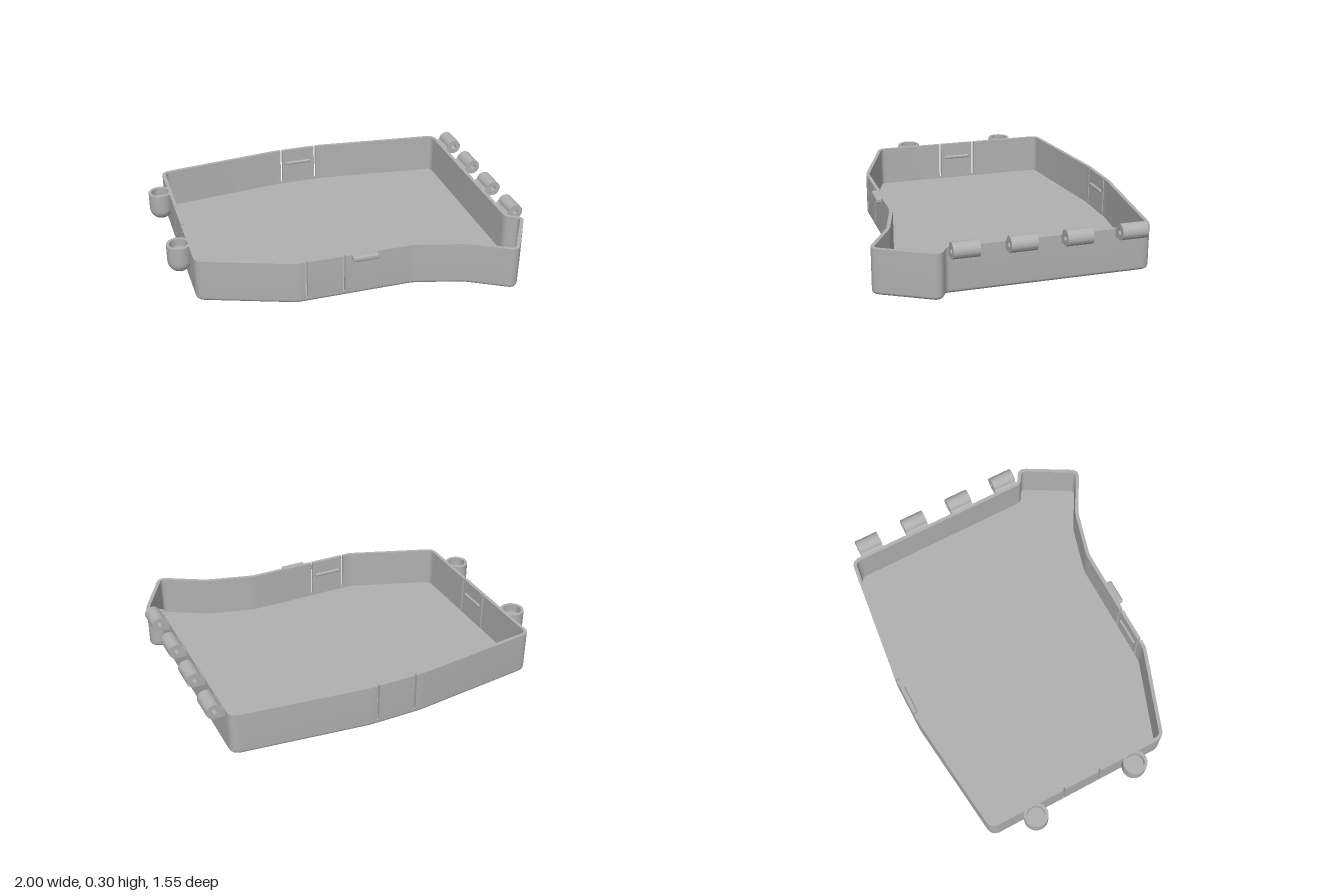
import * as THREE from 'three';
import { toCreasedNormals } from 'three/addons/utils/BufferGeometryUtils.js';
import { RoundedBoxGeometry } from 'three/addons/geometries/RoundedBoxGeometry.js';

const HEIGHT = 0.25, WALL = 0.02, FLOOR = 0.02, EDGE = 0.022, SLOT_BASE = 0.03, SLOT = 0.012;

// Corners of the tray: x, z, rounding radius, and slot distances along the edge that follows
const CORNERS = [
  [-0.885, -0.692, 0.06], [-0.15, -0.776, 0.2, [0.04, 0.26]], [0.15, -0.776, 0.2],
  [0.902, -0.688, 0.06], [0.902, 0.42, 0.03], [0.985, 0.465, 0.05], [0.80, 0.79, 0.05],
  [0.55, 0.645, 0.2], [0.28, 0.57, 0.2, [0.395, 0.605]], [-0.38, 0.57, 0.12],
  [-0.885, 0.387, 0.06, [0.405, 0.625]],
];

// Rounded outline; cut marks the first point of each slot
function makeOutline() {
  const pts = [], n = CORNERS.length;
  const v = CORNERS.map(c => new THREE.Vector2(c[0], c[1]));
  for (let i = 0; i < n; i++) {
    const p = v[i];
    const a = v[(i + n - 1) % n].clone().sub(p).normalize();
    const b = v[(i + 1) % n].clone().sub(p).normalize();
    const turn = Math.PI - Math.acos(a.dot(b));
    const t = CORNERS[i][2] * Math.tan(turn / 2);
    const curve = new THREE.QuadraticBezierCurve(
      p.clone().addScaledVector(a, t), p, p.clone().addScaledVector(b, t));
    pts.push(...curve.getPoints(8).map(q => ({ p: q, cut: false })));
    for (const s of CORNERS[i][3] || []) {
      pts.push({ p: p.clone().addScaledVector(b, s - SLOT / 2), cut: true });
      pts.push({ p: p.clone().addScaledVector(b, s + SLOT / 2), cut: false });
    }
  }
  // Mitred inward normals
  const m = pts.length;
  pts.forEach((q, i) => {
    const side = (s, e) => new THREE.Vector2(-(e.y - s.y), e.x - s.x).normalize();
    const n0 = side(pts[(i + m - 1) % m].p, q.p), n1 = side(q.p, pts[(i + 1) % m].p);
    q.n = n0.clone().add(n1).divideScalar(1 + n0.dot(n1));
  });
  return pts;
}

const inset = (q, d) => q.p.clone().addScaledVector(q.n, d);

// Wall swept around the outline, with open slots
function wallGeometry(outline) {
  const profile = [];
  for (let k = 0; k <= 5; k++) {
    const a = k / 5 * Math.PI / 2;
    profile.push([EDGE * (1 - Math.sin(a)), EDGE * (1 - Math.cos(a))]);
  }
  const base = profile.length;
  profile.push([0, SLOT_BASE], [0, HEIGHT], [WALL, HEIGHT], [WALL, SLOT_BASE], [WALL, FLOOR]);
  const pos = [], m = outline.length;
  const at = (i, j) => {
    const q = inset(outline[i], profile[j][0]);
    return [q.x, profile[j][1], q.y];
  };
  const quad = (a, b, c, d) => pos.push(...a, ...b, ...c, ...a, ...c, ...d);
  const strip = (i, k, j0, j1) => quad(at(i, j0), at(i, j1), at(k, j1), at(k, j0));
  for (let i = 0; i < m; i++) {
    const k = (i + 1) % m, cut = outline[i].cut;
    for (let j = 0; j < profile.length - 1; j++) {
      if (cut && j >= base && j < base + 3) continue;
      strip(i, k, j, j + 1);
    }
    if (cut) {
      strip(i, k, base, base + 3);
      quad(at(i, base), at(i, base + 1), at(i, base + 2), at(i, base + 3));
      quad(at(k, base + 3), at(k, base + 2), at(k, base + 1), at(k, base));
    }
  }
  const g = new THREE.BufferGeometry();
  g.setAttribute('position', new THREE.Float32BufferAttribute(pos, 3));
  return toCreasedNormals(g, 0.6);
}

// Flat plate inside the outline, facing up (+1) or down (-1)
function plateGeometry(outline, d, y, facing) {
  const shape = new THREE.Shape(outline.map(q => {
    const v = inset(q, d);
    return new THREE.Vector2(v.x, -facing * v.y);
  }));
  return new THREE.ShapeGeometry(shape).rotateX(-facing * Math.PI / 2).translate(0, y, 0);
}

// Hinge knuckle: barrel with a pin hole and a foot reaching the wall
function knuckleGeometry(length) {
  const cx = 0.957, cy = 0.254, r = 0.043;
  const s = new THREE.Shape();
  s.moveTo(0.893, 0.211);
  s.lineTo(cx, cy - r);
  s.absarc(cx, cy, r, -Math.PI / 2, Math.PI * 0.97, false);
  s.lineTo(0.893, 0.248);
  s.closePath();
  const hole = new THREE.Path();
  hole.absarc(cx, cy, 0.015, 0, Math.PI * 2, true);
  s.holes.push(hole);
  const g = new THREE.ExtrudeGeometry(s, { depth: length, bevelEnabled: false, curveSegments: 28 });
  return toCreasedNormals(g.translate(0, 0, -length / 2), 0.6);
}

// Round-bottomed post with a shallow socket in its top
function postGeometry() {
  const r = 0.067, low = 0.085 + r, pts = [];
  for (let k = 0; k <= 10; k++) {
    const a = k / 10 * Math.PI / 2;
    pts.push(new THREE.Vector2(r * Math.sin(a), low - r * Math.cos(a)));
  }
  for (const [x, y] of [[r, HEIGHT], [0.05, HEIGHT], [0.05, 0.205], [0, 0.205]])
    pts.push(new THREE.Vector2(x, y));
  return toCreasedNormals(new THREE.LatheGeometry(pts, 36), 0.6);
}

export function createModel() {
  const group = new THREE.Group();
  const grey = new THREE.MeshStandardMaterial({ color: 0xb0b0b0 });
  grey.name = 'grey plastic';
  const add = (name, geometry, x = 0, y = 0, z = 0) => {
    const mesh = new THREE.Mesh(geometry, grey);
    mesh.name = name;
    mesh.position.set(x, y, z);
    group.add(mesh);
    return mesh;
  };

  // Tray
  const outline = makeOutline();
  add('trayWall', wallGeometry(outline));
  add('trayFloor', plateGeometry(outline, WALL, FLOOR, 1));
  add('trayUnderside', plateGeometry(outline, EDGE, 0, -1));

  // Hinge knuckles along the left side
  const knuckle = knuckleGeometry(0.14);
  for (let i = 0; i < 4; i++) add('hingeKnuckle', knuckle, 0, 0, 0.34 - i * 0.297);

  // Socket posts on the right side
  const post = postGeometry();
  for (const z of [-0.44, 0.178]) add('socketPost', post, -0.933, 0, z);

  // Snap ridges inside the slotted panels
  const ridge = new RoundedBoxGeometry(0.165, 0.02, 0.022, 3, 0.009);
  add('backSnapRidge', ridge, 0, 0.16, -0.756);
  add('frontSnapRidge', ridge, -0.22, 0.16, 0.55);
  add('rightSnapRidge', ridge, -0.866, 0.16, -0.13).rotation.y = Math.PI / 2;

  // Thumb tab on the front rim
  add('thumbTab', new RoundedBoxGeometry(0.147, 0.034, 0.045, 4, 0.012), 0.002, 0.233, 0.578);
  return group;
}
